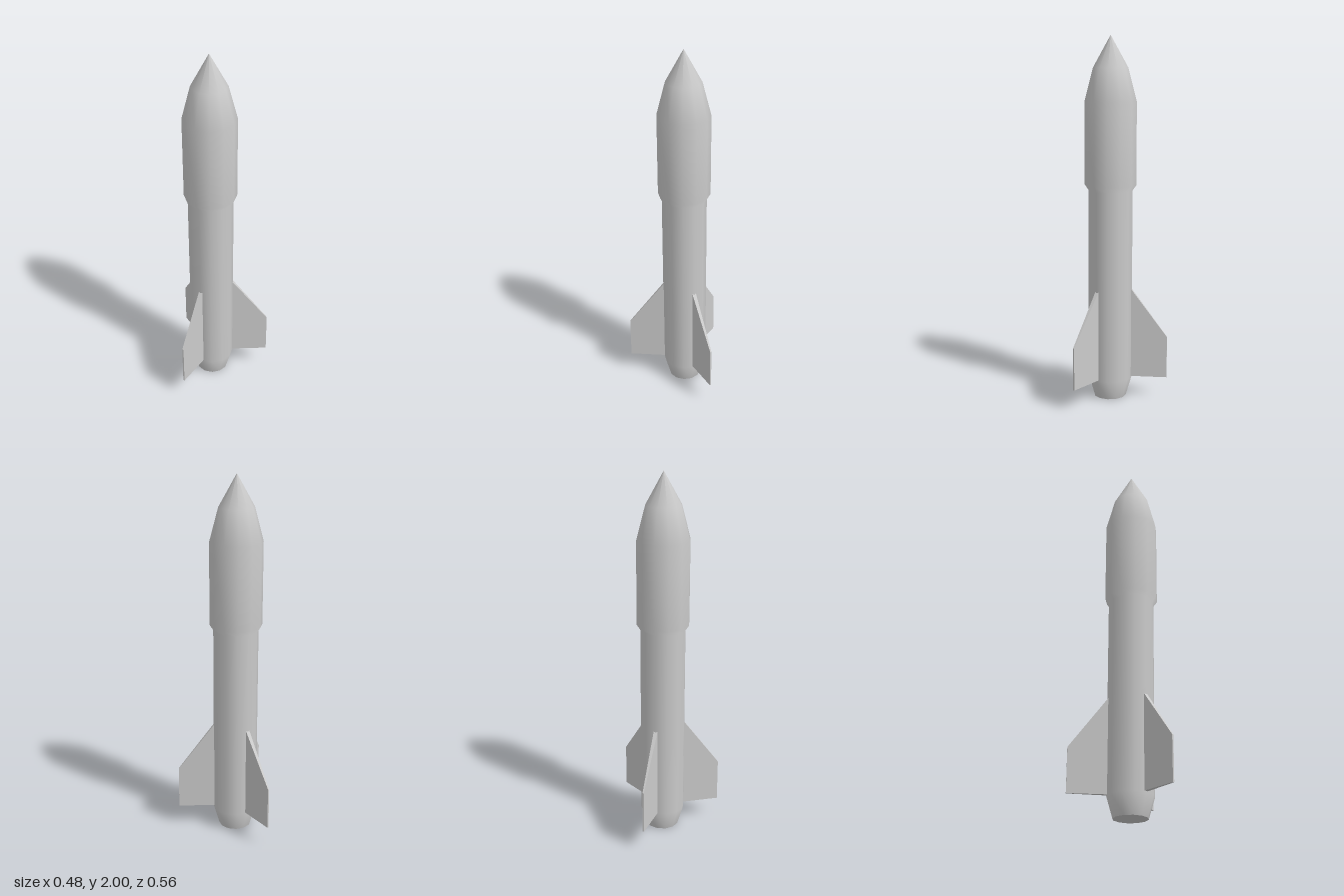
import * as THREE from 'three';

const material = new THREE.MeshStandardMaterial({ color: 0xcccccc });
const SIDES = 12;

function addMesh(parent, name, geometry) {
  const mesh = new THREE.Mesh(geometry, material);
  mesh.name = name;
  parent.add(mesh);
  return mesh;
}

// Fin: a box reshaped into a swept, tapering blade pointing along +x
function finGeometry() {
  const geometry = new THREE.BoxGeometry(1, 1, 1);
  const p = geometry.attributes.position;
  for (let i = 0; i < p.count; i++) {
    const outer = p.getX(i) > 0;
    const top = p.getY(i) > 0;
    p.setXYZ(
      i,
      outer ? 0.32 : 0.115,
      top ? (outer ? 0.35 : 0.625) : 0.115,
      Math.sign(p.getZ(i)) * (outer ? 0.004 : 0.011)
    );
  }
  geometry.computeVertexNormals();
  return geometry;
}

export function createModel() {
  const model = new THREE.Group();
  model.name = 'rocket';

  // Everything is arranged around the rocket's long axis
  const rocket = new THREE.Group();
  rocket.name = 'rocketBody';
  rocket.position.x = -0.08;
  model.add(rocket);

  // Hull: tail cone, slim stage, wider payload stage and pointed nose
  const profile = [
    [0.09, 0], [0.122, 0.11], [0.122, 1.17], [0.142, 1.2],
    [0.142, 1.65], [0.095, 1.83], [0, 2],
  ].map(([r, y]) => new THREE.Vector2(r, y));
  addMesh(rocket, 'hull', new THREE.LatheGeometry(profile, SIDES));

  // Flat base plate
  addMesh(rocket, 'basePlate', new THREE.CircleGeometry(0.09, SIDES).rotateX(Math.PI / 2));

  // Three fins, evenly spaced
  const fin = finGeometry();
  for (let i = 0; i < 3; i++) {
    addMesh(rocket, `fin${i + 1}`, fin).rotation.y = (i * Math.PI * 2) / 3;
  }
  return model;
}
